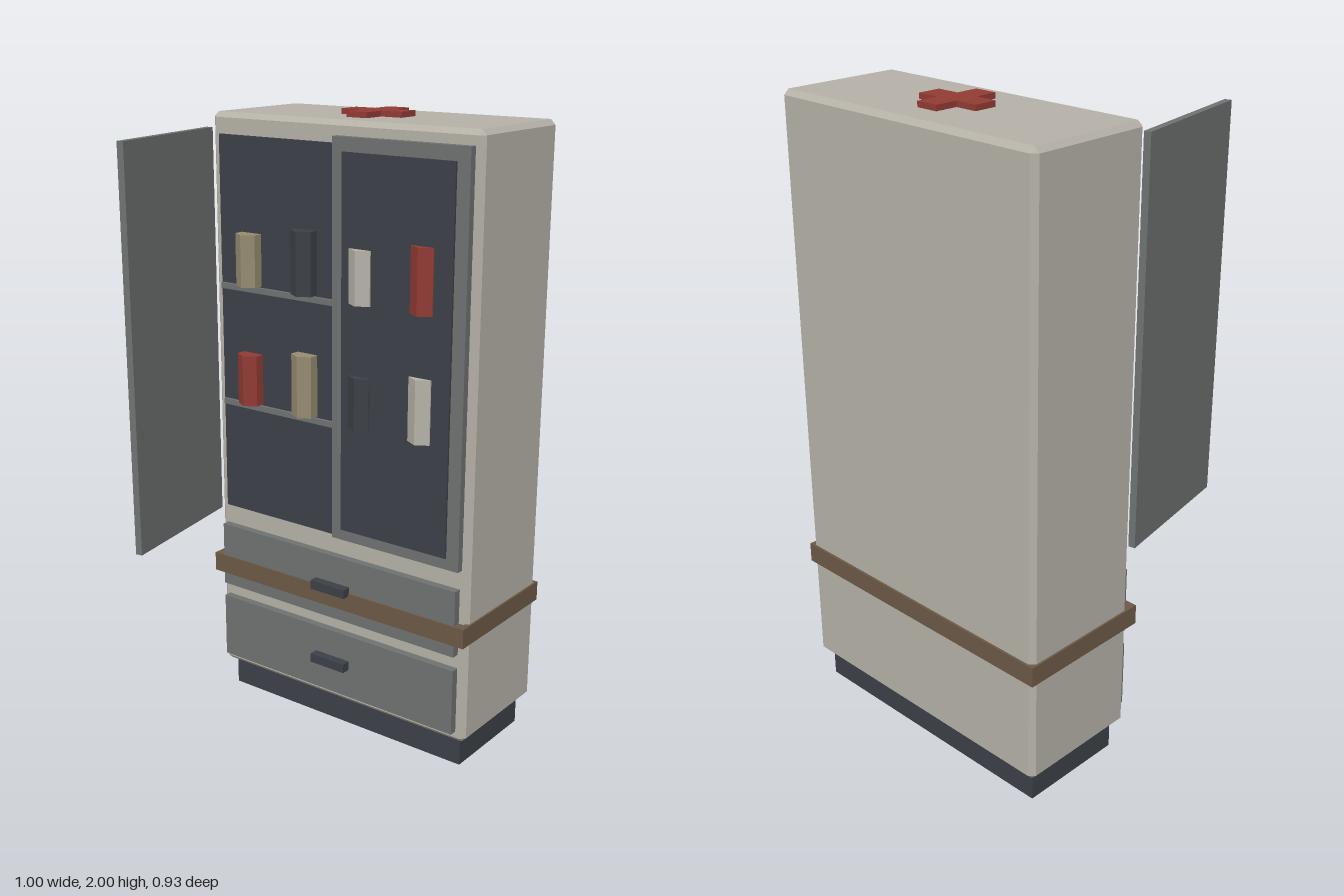
import * as THREE from 'three';
import { ConvexGeometry } from 'three/addons/geometries/ConvexGeometry.js';

const mat = (name, color) => {
  const m = new THREE.MeshStandardMaterial({ color });
  m.name = name;
  return m;
};

// Box with every edge cut by a flat chamfer
function chamferBox(w, h, d, c) {
  const pts = [];
  for (const x of [-1, 1]) for (const y of [-1, 1]) for (const z of [-1, 1]) {
    const [a, b, e] = [w / 2, h / 2, d / 2];
    pts.push(new THREE.Vector3(x * a, y * (b - c), z * (e - c)));
    pts.push(new THREE.Vector3(x * (a - c), y * b, z * (e - c)));
    pts.push(new THREE.Vector3(x * (a - c), y * (b - c), z * e));
  }
  return new ConvexGeometry(pts);
}

export function createModel() {
  const cream = mat('cream paint', 0xb5b1a7);
  const grey = mat('grey metal', 0x6e7271);
  const dark = mat('dark steel', 0x3c4148);
  const red = mat('red', 0x923b34);
  const tan = mat('tan', 0x958b70);
  const brown = mat('brown strap', 0x6c5946);

  const model = new THREE.Group();
  model.name = 'medicineCabinet';

  const add = (name, geometry, material, x = 0, y = 0, z = 0, parent = model) => {
    const mesh = new THREE.Mesh(geometry, material);
    mesh.name = name;
    mesh.position.set(x, y, z);
    parent.add(mesh);
    return mesh;
  };
  // Box given by its limits on each axis
  const block = (name, material, x0, x1, y0, y1, z0, z1, parent) =>
    add(name, new THREE.BoxGeometry(x1 - x0, y1 - y0, z1 - z0), material,
      (x0 + x1) / 2, (y0 + y1) / 2, (z0 + z1) / 2, parent);

  // Plinth, carcass and strap
  block('plinth', dark, -0.463, 0.463, 0, 0.11, -0.427, -0.077);
  add('carcass', chamferBox(0.988, 1.886, 0.416, 0.016), cream, 0, 1.04, -0.253);
  block('strap', brown, -0.5, 0.5, 0.443, 0.507, -0.468, -0.014);

  // Dark interior panel and shelves
  block('interiorPanel', dark, -0.456, 0.456, 0.688, 1.917, -0.06, -0.034);
  for (const y of [1.057, 1.443])
    block('shelf', grey, -0.45, 0.45, y - 0.009, y + 0.009, -0.06, -0.023);

  // Closed door with its window
  block('closedDoor', grey, 0.002, 0.475, 0.688, 1.94, -0.036, -0.013);
  block('doorWindow', dark, 0.042, 0.432, 0.725, 1.898, -0.014, -0.006);

  // Open door, swung on its left hinge
  const openDoor = block('openDoor', grey, -0.011, 0.011, 0.688, 1.94, -0.236, 0.236);
  openDoor.position.x = -0.422;
  openDoor.position.z = 0.232;
  openDoor.rotation.y = THREE.MathUtils.degToRad(10);

  // Drawers with handles
  for (const [y0, y1, handleY] of [[0.135, 0.355, 0.25], [0.402, 0.62, 0.513]]) {
    block('drawer', grey, -0.464, 0.464, y0, y1, -0.06, -0.019);
    block('drawerHandle', dark, -0.067, 0.067, handleY - 0.015, handleY + 0.015, -0.025, 0.011);
  }

  // Six-sided bottles standing on the shelves
  const rows = [
    [1.456, [tan, dark, cream, red]],
    [1.07, [red, tan, dark, cream]],
  ];
  for (const [base, colours] of rows) {
    colours.forEach((colour, i) => {
      const h = i % 2 ? 0.198 : 0.165;
      const geometry = new THREE.CylinderGeometry(0.045, 0.045, h, 6).toNonIndexed();
      geometry.computeVertexNormals();
      add('bottle', geometry, colour, -0.33 + i * 0.22, base + h / 2, -0.025);
    });
  }

  // Raised cross on the top
  const a = 0.11, b = 0.037;
  const outline = [[-b, -a], [b, -a], [b, -b], [a, -b], [a, b], [b, b],
    [b, a], [-b, a], [-b, b], [-a, b], [-a, -b], [-b, -b]];
  const cross = new THREE.Shape(outline.map(([x, y]) => new THREE.Vector2(x, y)));
  const crossGeometry = new THREE.ExtrudeGeometry(cross, { depth: 0.022, bevelEnabled: false });
  crossGeometry.rotateX(-Math.PI / 2);
  add('topCross', crossGeometry, red, 0, 1.978, -0.245);

  return model;
}
